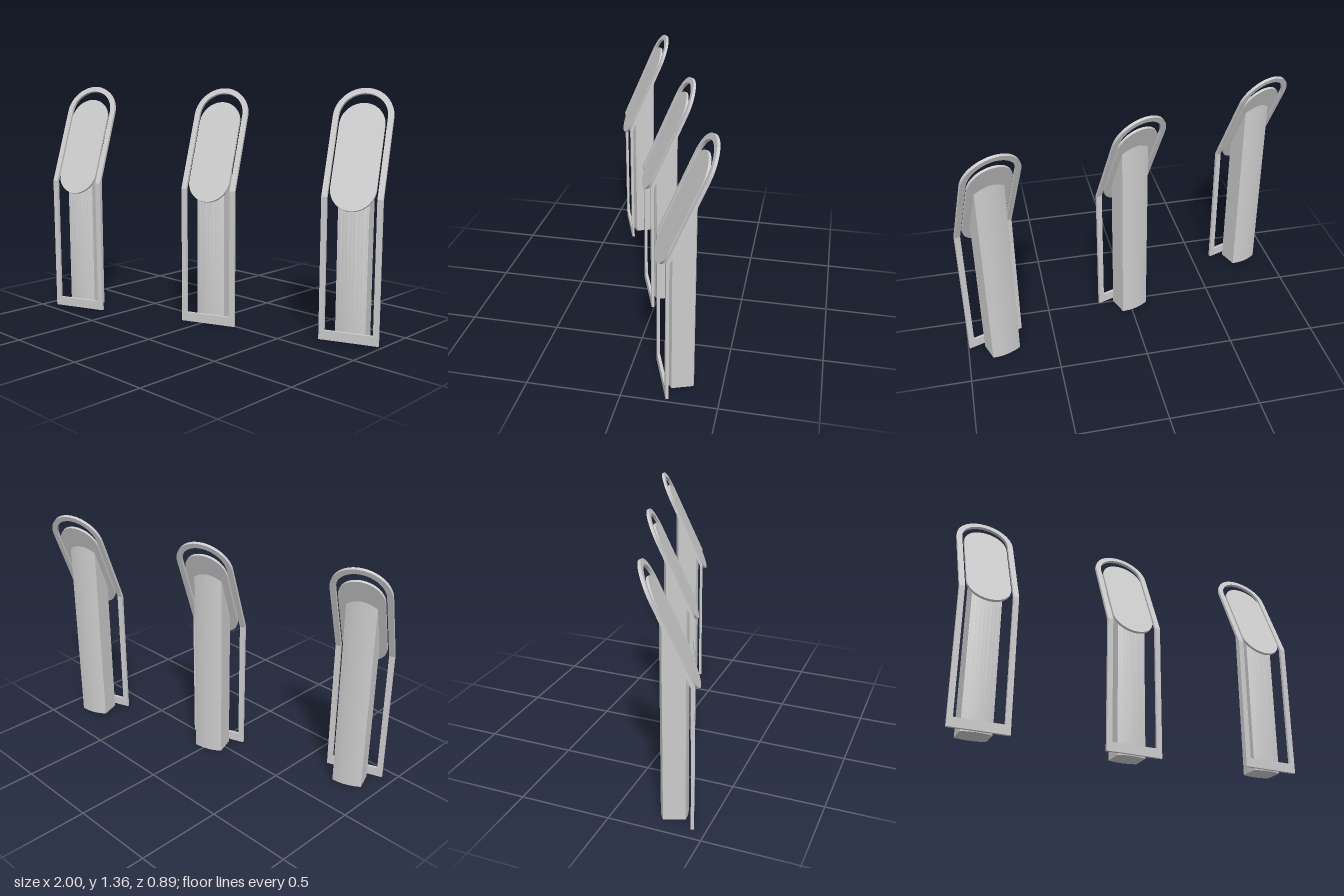
import * as THREE from 'three';
import { toCreasedNormals } from 'three/addons/utils/BufferGeometryUtils.js';

const LEAN = THREE.MathUtils.degToRad(24);
const BEND = 0.785; // height where the frame starts leaning back
const HALF = 0.165, BAR = 0.031, DEPTH = 0.016;
const ARM = 0.4535; // straight run of the leaning frame
const mat = new THREE.MeshStandardMaterial({ color: 0xcccccc });

function extrude(shape, depth) {
  const g = new THREE.ExtrudeGeometry(shape, { depth, bevelEnabled: false, curveSegments: 24 });
  g.translate(0, 0, -depth); // front face at z = 0
  return g;
}

function part(name, geometry) {
  const m = new THREE.Mesh(toCreasedNormals(geometry, 0.6), mat);
  m.name = name;
  return m;
}

// Upright U of the frame: two legs and a sill
function lowerFrame() {
  const i = HALF - BAR, s = 0.053;
  const pts = [[-HALF, 0], [HALF, 0], [HALF, BEND], [i, BEND], [i, s], [-i, s], [-i, BEND], [-HALF, BEND]];
  return extrude(new THREE.Shape(pts.map(p => new THREE.Vector2(...p))), DEPTH);
}

// Leaning arch of the frame
function upperFrame() {
  const i = HALF - BAR;
  const s = new THREE.Shape();
  s.moveTo(HALF, 0);
  s.lineTo(HALF, ARM);
  s.absarc(0, ARM, HALF, 0, Math.PI, false);
  s.lineTo(-HALF, 0);
  s.lineTo(-i, 0);
  s.lineTo(-i, ARM);
  s.absarc(0, ARM, i, Math.PI, 0, true);
  s.lineTo(i, 0);
  return extrude(s, DEPTH);
}

// Capsule-shaped display panel
function panel() {
  const r = 0.124, c = 0.177, mid = 0.231;
  const s = new THREE.Shape();
  s.moveTo(r, mid - c);
  s.absarc(0, mid + c, r, 0, Math.PI, false);
  s.absarc(0, mid - c, r, Math.PI, Math.PI * 2, false);
  return extrude(s, 0.014);
}

// Post with bowed front and back, its top cut to the panel's slope
function post() {
  const w = 0.084, front = -0.043, back = -0.157, bow = 0.03;
  const s = new THREE.Shape();
  s.moveTo(-w, -front);
  s.quadraticCurveTo(0, -front - bow, w, -front);
  s.lineTo(w, -back);
  s.quadraticCurveTo(0, -back + bow, -w, -back);
  s.closePath();
  const g = new THREE.ExtrudeGeometry(s, { depth: 1, bevelEnabled: false, curveSegments: 16 });
  g.rotateX(-Math.PI / 2);
  const p = g.attributes.position;
  for (let k = 0; k < p.count; k++) {
    if (p.getY(k) > 0.5) p.setY(k, BEND - 0.012 - p.getZ(k) / Math.tan(LEAN));
  }
  return g;
}

function createStand() {
  const stand = new THREE.Group();
  const head = new THREE.Group();
  head.name = 'leaningHead';
  head.position.y = BEND;
  head.rotation.x = -LEAN;
  head.add(part('upperFrame', upperFrame()), part('panel', panel()));
  stand.add(part('lowerFrame', lowerFrame()), part('post', post()), head);
  return stand;
}

export function createModel() {
  const model = new THREE.Group();
  model.name = 'panelStands';
  // Three matching stands in a diagonal row
  [[-0.775, 0, 0.382], [0.033, 0, 0.07], [0.841, 0.012, -0.178]].forEach((pos, k) => {
    const stand = createStand();
    stand.name = 'stand' + (k + 1);
    stand.position.set(...pos);
    stand.rotation.y = THREE.MathUtils.degToRad(20);
    model.add(stand);
  });
  return model;
}
